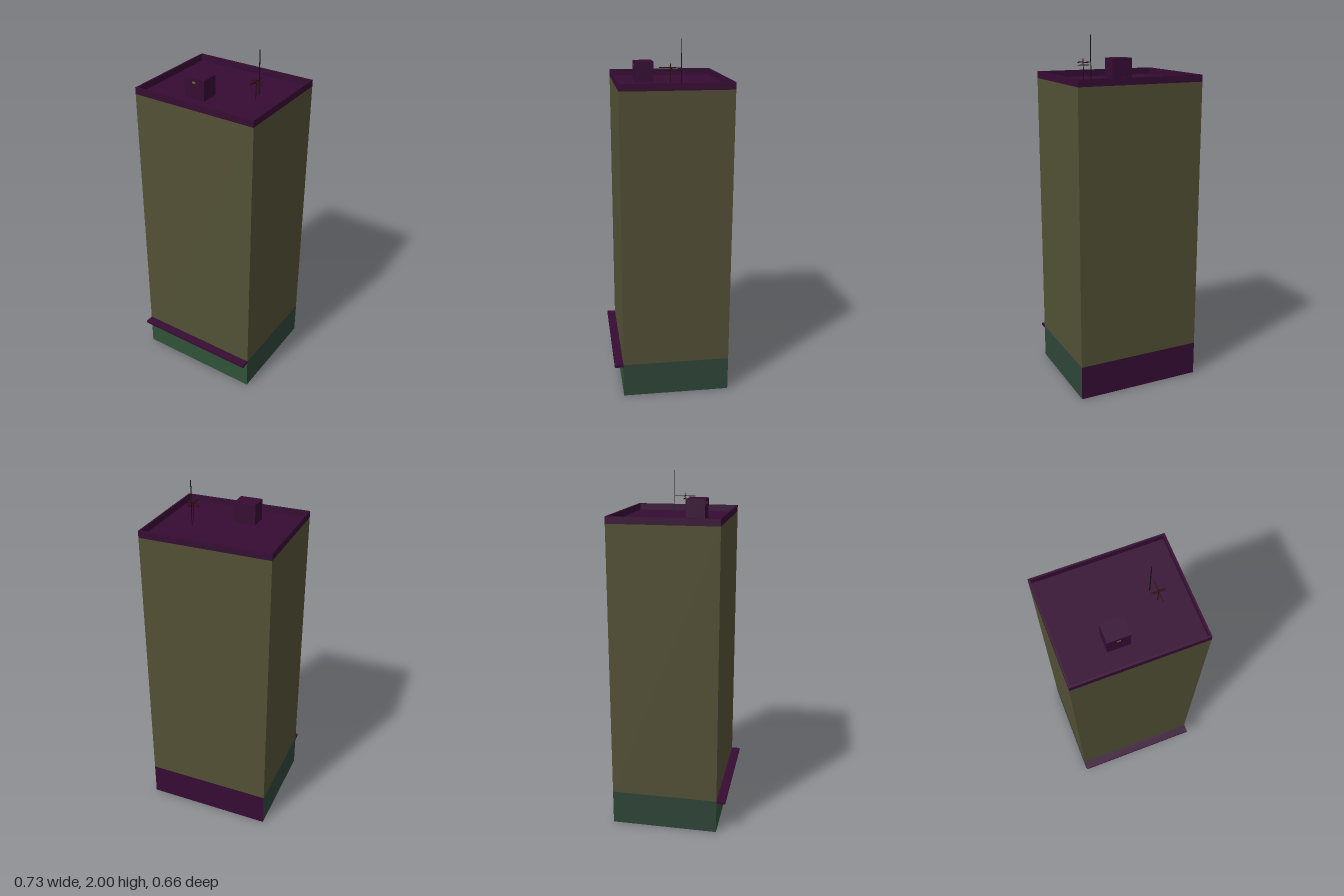
import * as THREE from 'three';

const mat = (name, color, side = THREE.FrontSide) => {
  const m = new THREE.MeshStandardMaterial({ color, side });
  m.name = name;
  return m;
};

export function createModel() {
  const group = new THREE.Group();
  const olive = mat('olive wall', 0x525035, THREE.DoubleSide);
  const green = mat('shopfront green', 0x2e5138, THREE.DoubleSide);
  const teal = mat('side base teal', 0x2f4539, THREE.DoubleSide);
  const purple = mat('purple trim', 0x360c33, THREE.DoubleSide);
  const rust = mat('antenna rust', 0x2a0d0a);
  const black = mat('mast black', 0x141014);
  const yellow = mat('sign olive', 0x6a6424);

  const add = (name, geometry, material, x = 0, y = 0, z = 0) => {
    const mesh = new THREE.Mesh(geometry, material);
    mesh.name = name;
    mesh.position.set(x, y, z);
    group.add(mesh);
    return mesh;
  };
  const box = (name, material, x0, x1, y0, y1, z0, z1) =>
    add(name, new THREE.BoxGeometry(x1 - x0, y1 - y0, z1 - z0), material,
      (x0 + x1) / 2, (y0 + y1) / 2, (z0 + z1) / 2);

  const X = 0.366, ZF = 0.28, ZB = -0.33, ZC = (ZF + ZB) / 2;
  const depth = ZF - ZB, baseTop = 0.197, roofY = 1.752, top = 1.79;

  // Single-sheet walls, open underneath: a base band and a tall upper wall per side
  const sides = [
    ['front', 0, ZF, 0, 2 * X, green],
    ['back', 0, ZB, Math.PI, 2 * X, purple],
    ['left', X, ZC, Math.PI / 2, depth, teal],
    ['right', -X, ZC, -Math.PI / 2, depth, teal],
  ];
  for (const [name, x, z, turn, width, baseMat] of sides) {
    const bands = [['Base', 0, baseTop, baseMat], ['Wall', baseTop, roofY, olive]];
    for (const [part, y0, y1, m] of bands) {
      add(name + part, new THREE.PlaneGeometry(width, y1 - y0), m, x, (y0 + y1) / 2, z).rotation.y = turn;
    }
  }

  // Flat roof inside a thin parapet ring
  add('roof', new THREE.PlaneGeometry(2 * X, depth), purple, 0, roofY, ZC).rotation.x = -Math.PI / 2;
  const rect = (Type, w, h) => new Type([
    new THREE.Vector2(-w, -h), new THREE.Vector2(w, -h),
    new THREE.Vector2(w, h), new THREE.Vector2(-w, h),
  ]);
  const ring = rect(THREE.Shape, X, depth / 2);
  ring.holes.push(rect(THREE.Path, X - 0.01, depth / 2 - 0.01));
  const parapet = new THREE.ExtrudeGeometry(ring, { depth: top - roofY, bevelEnabled: false });
  add('parapet', parapet.rotateX(-Math.PI / 2), purple, 0, roofY, ZC);

  // Canopy over the shopfront
  box('canopy', purple, -X, X, 0.183, 0.197, ZF, 0.33);

  // Roof hut with a small sign
  box('roofHut', purple, -0.13, -0.007, roofY, 1.865, 0.056, 0.161);
  box('hutSign', yellow, -0.08, -0.06, 1.837, 1.848, 0.161, 0.163);

  // Tall mast and aerial with crossbars
  const t = 0.002;
  box('mast', black, 0.183 - t, 0.183 + t, roofY, 2, -0.072 - t, -0.072 + t);
  box('aerialPole', rust, 0.201 - t, 0.201 + t, roofY, 1.872, -0.01 - t, -0.01 + t);
  box('aerialBoom', rust, 0.201 - t, 0.201 + t, 1.851, 1.855, -0.07, 0.05);
  for (const y of [1.838, 1.853]) {
    box('aerialCrossbar', rust, 0.166, 0.236, y - t, y + t, -0.012 - t, -0.012 + t);
  }
  return group;
}
